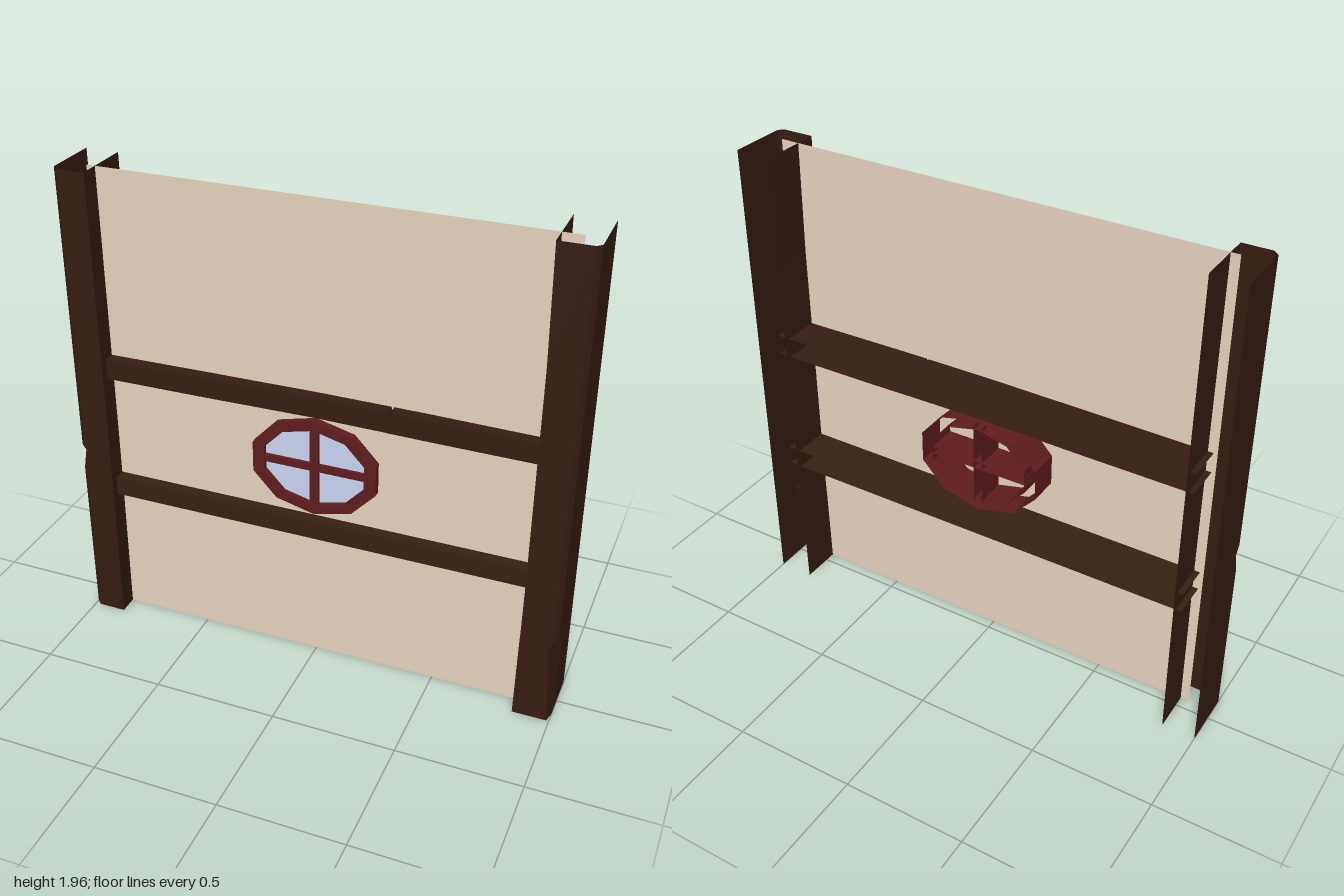
import * as THREE from 'three';

const HEIGHT = 1.957;
const WALL_Z = 0.045;

const paint = (color) =>
  new THREE.MeshStandardMaterial({ color, side: THREE.DoubleSide, flatShading: true });
const wood = paint(0x361d13);
const oliveWood = paint(0x372113);
const red = paint(0x601c1f);
const plaster = paint(0xe5d3be);
const glass = paint(0xc8d5f2);

// Open shell through a row of matching cross-sections, each a list of [x, y, z]
function loft(sections) {
  const n = sections[0].length;
  const index = [];
  for (let i = 0; i < sections.length - 1; i++) {
    for (let j = 0; j < n - 1; j++) {
      const a = i * n + j, b = a + n;
      index.push(a, b, a + 1, a + 1, b, b + 1);
    }
  }
  const geometry = new THREE.BufferGeometry();
  geometry.setAttribute('position', new THREE.Float32BufferAttribute(sections.flat(2), 3));
  geometry.setIndex(index);
  const flat = geometry.toNonIndexed();
  flat.computeVertexNormals();
  return flat;
}

// Upright channel, open at the back, with a worn outer corner;
// levels are [y, inner x, corner width, corner depth]
function post(side, levels) {
  const front = 0.125, back = -0.125;
  return loft(levels.map(([y, inner, w, d]) => {
    const section = [
      [side, y, back], [side, y, front - d], [side * (1 - w), y, front],
      [side * inner, y, front], [side * inner, y, back],
    ];
    return side > 0 ? section.reverse() : section;
  }).reverse());
}

// Level channel, open at the back; stations are [x, bottom, top, chip drop, chip depth]
function beam(stations) {
  const front = 0.094, back = -0.104;
  return loft(stations.map(([x, bottom, top, drop, d]) => [
    [x, top, back], [x, top, front - d], [x, top - drop, front],
    [x, bottom, front], [x, bottom, back],
  ]).reverse());
}

// Ten-sided window outline
const CENTRE_Y = 0.885;
function decagon(rx, ry) {
  return Array.from({ length: 10 }, (_, i) => {
    const a = (i / 10) * Math.PI * 2;
    return new THREE.Vector2(Math.sin(a) * rx, CENTRE_Y + Math.cos(a) * ry);
  });
}

export function createModel() {
  const group = new THREE.Group();
  const add = (name, geometry, material) => {
    const mesh = new THREE.Mesh(geometry, material);
    mesh.name = name;
    group.add(mesh);
    return mesh;
  };

  // One thin plaster panel that the timbers and window pass through
  const panel = add('wallPanel', new THREE.PlaneGeometry(1.83, HEIGHT), plaster);
  panel.position.set(0.015, HEIGHT / 2, WALL_Z);

  // Posts, each with a chip in the worn outer corner
  add('rightPost', post(-1, [
    [0, 0.865, 0.022, 0.02], [0.68, 0.862, 0.022, 0.02], [0.76, 0.862, 0.04, 0.045],
    [0.79, 0.862, 0.022, 0.02], [HEIGHT, 0.865, 0.022, 0.02],
  ]), wood);
  add('leftPost', post(1, [
    [0, 0.853, 0.01, 0.045], [0.34, 0.857, 0.03, 0.125], [0.38, 0.858, 0.018, 0.02],
    [0.58, 0.86, 0.018, 0.02], [1.5, 0.862, 0.018, 0.02], [HEIGHT, 0.853, 0.018, 0.02],
  ]), wood);

  // Beams, the upper one slightly bowed and nicked
  add('upperBeam', beam([
    [-0.885, 1.11, 1.192, 0, 0], [-0.45, 1.113, 1.197, 0, 0], [0, 1.119, 1.201, 0, 0],
    [0.283, 1.116, 1.2, 0, 0], [0.3, 1.115, 1.2, 0.045, 0.07], [0.317, 1.115, 1.2, 0, 0],
    [0.45, 1.113, 1.199, 0, 0], [0.915, 1.11, 1.192, 0, 0],
  ]), wood);
  add('lowerBeam', beam([[-0.885, 0.577, 0.656, 0, 0], [0.915, 0.577, 0.656, 0, 0]]), oliveWood);

  // Window frame: a hollow ring, open at the back
  const front = 0.075, back = -0.08;
  const outer = decagon(0.265, 0.206);
  const inner = decagon(0.215, 0.165);
  const ring = outer.map((o, i) => [
    [o.x, o.y, back], [o.x, o.y, front],
    [inner[i].x, inner[i].y, front], [inner[i].x, inner[i].y, back],
  ]);
  add('windowFrame', loft([...ring, ring[0]]), red);

  // Crossing glazing bars
  const barFront = 0.07, half = 0.018;
  add('uprightBar', loft([1.06, 0.71].map((y) => [
    [half, y, back], [half, y, barFront], [-half, y, barFront], [-half, y, back],
  ]).reverse()), red);
  add('crossBar', loft([0.207, -0.207].map((x) => [
    [x, CENTRE_Y + 0.015, back], [x, CENTRE_Y + 0.015, barFront],
    [x, CENTRE_Y - 0.015, barFront], [x, CENTRE_Y - 0.015, back],
  ])), red);

  // Glass pane just in front of the plaster
  const pane = add('glassPane', new THREE.ShapeGeometry(new THREE.Shape(decagon(0.23, 0.177))), glass);
  pane.position.z = WALL_Z + 0.01;

  return group;
}
